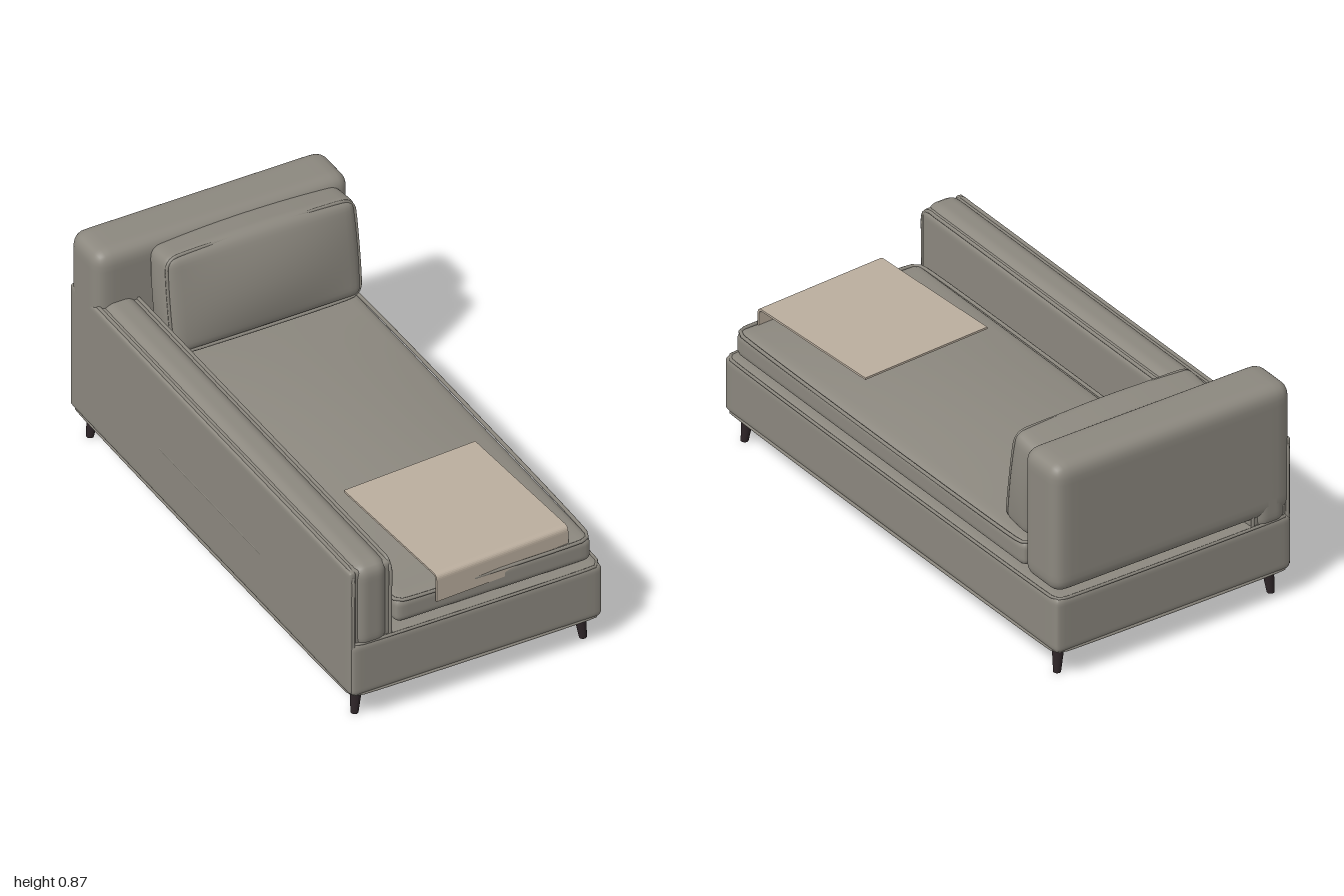
import * as THREE from 'three';
import { mergeVertices } from 'three/addons/utils/BufferGeometryUtils.js';

const fabric = new THREE.MeshStandardMaterial({ color: 0x8c887f });
fabric.name = 'grey fabric';
const throwCloth = new THREE.MeshStandardMaterial({ color: 0xbbae9e });
throwCloth.name = 'beige throw';
const darkWood = new THREE.MeshStandardMaterial({ color: 0x2e2528 });
darkWood.name = 'dark wood';

function mesh(name, geometry, material, parent) {
  const m = new THREE.Mesh(geometry, material);
  m.name = name;
  parent.add(m);
  return m;
}

// Rounded block whose faces bulge outwards by crown = {top, front, side}
function softBlock(w, h, d, r, crown = {}, n = 24) {
  const { top = 0, front = 0, side = 0 } = crown;
  const g = new THREE.BoxGeometry(2, 2, 2, n, n, n);
  g.deleteAttribute('uv');
  g.deleteAttribute('normal');
  const half = new THREE.Vector3(w / 2, h / 2, d / 2);
  const inner = half.clone().subScalar(r);
  const low = inner.clone().negate();
  const pos = g.attributes.position;
  const p = new THREE.Vector3();
  const c = new THREE.Vector3();
  const ease = (u) => Math.sin((u * Math.PI) / 2); // crowd the rows near the edges
  for (let i = 0; i < pos.count; i++) {
    p.fromBufferAttribute(pos, i);
    p.set(ease(p.x), ease(p.y), ease(p.z)).multiply(half);
    c.copy(p).clamp(low, inner);
    p.sub(c).setLength(r).add(c);
    const u = p.x / half.x, v = p.y / half.y, t = p.z / half.z;
    const fx = 1 - u * u, fy = 1 - v * v, fz = 1 - t * t;
    p.x += side * u * fy * fz;
    p.y += top * Math.max(v, 0) * fx * (front ? 1 : fz);
    p.z += front * Math.max(t, 0) * fx * fy;
    pos.setXYZ(i, p.x, p.y, p.z);
  }
  const merged = mergeVertices(g, 1e-5);
  merged.computeVertexNormals();
  return merged;
}

function block(name, x0, x1, y0, y1, z0, z1, r, parent, crown) {
  const m = mesh(name, softBlock(x1 - x0, y1 - y0, z1 - z0, r, crown), fabric, parent);
  m.position.set((x0 + x1) / 2, (y0 + y1) / 2, (z0 + z1) / 2);
  return m;
}

// Piping loop: a rounded rectangle in the ground plane
function pipingLoop(w, d, r, radius) {
  const pts = [];
  const corners = [[1, 1, 0], [-1, 1, 1], [-1, -1, 2], [1, -1, 3]];
  for (const [sx, sz, q] of corners) {
    for (let k = 0; k <= 4; k++) {
      const a = (q + k / 4) * Math.PI / 2;
      pts.push(new THREE.Vector3(
        sx * (w / 2 - r) + r * Math.cos(a), 0, sz * (d / 2 - r) + r * Math.sin(a)));
    }
  }
  const curve = new THREE.CatmullRomCurve3(pts, true, 'centripetal');
  return new THREE.TubeGeometry(curve, 160, radius, 6, true);
}

export function createModel() {
  const model = new THREE.Group();
  model.name = 'chaise';

  // Upholstered base with piped top and bottom edges
  block('base', -0.5, 0.5, 0.108, 0.334, -0.998, 0.998, 0.025, model);
  for (const [name, y] of [['baseTopPiping', 0.328], ['baseBottomPiping', 0.115]]) {
    mesh(name, pipingLoop(0.985, 1.98, 0.03, 0.006), fabric, model).position.y = y;
  }

  // Backrest across the full width
  block('backrest', -0.504, 0.504, 0.345, 0.865, -1, -0.79, 0.055, model);

  // Arm along the right side: domed core, body and a tall outer panel
  const arm = new THREE.Group();
  arm.name = 'arm';
  model.add(arm);
  block('armCore', -0.484, -0.346, 0.3, 0.654, -1, 1, 0.05, arm);
  block('armBody', -0.5, -0.33, 0.315, 0.638, -0.985, 0.985, 0.02, arm);
  block('armOuterPanel', -0.504, -0.475, 0.12, 0.638, -0.988, 0.988, 0.012, arm);

  // Piping running up each side of the arm front, along the top and down the back
  for (const x of [-0.488, -0.341]) {
    const path = new THREE.CatmullRomCurve3([
      [0.32, 0.985], [0.5, 0.987], [0.61, 0.985], [0.636, 0.96], [0.638, 0.9],
      [0.638, 0], [0.638, -0.9], [0.636, -0.96], [0.61, -0.985], [0.5, -0.987], [0.32, -0.985],
    ].map(([y, z]) => new THREE.Vector3(x, y, z)), false, 'centripetal');
    mesh('armPiping', new THREE.TubeGeometry(path, 120, 0.007, 6), fabric, arm);
  }

  // Seat cushion, softly crowned, with piping round the upper edge
  block('seatCushion', -0.308, 0.474, 0.337, 0.44, -0.765, 0.968, 0.03, model, { top: 0.034 });
  const seatPiping = mesh('seatPiping', pipingLoop(0.774, 1.726, 0.04, 0.007), fabric, model);
  seatPiping.position.set(0.083, 0.434, 0.1015);

  // Back cushion leaning on the backrest
  const back = new THREE.Group();
  back.name = 'backCushion';
  back.position.set(0.083, 0.652, -0.72);
  back.rotation.x = -0.14;
  model.add(back);
  mesh('backCushionBody',
    softBlock(0.75, 0.385, 0.145, 0.035, { top: 0.016, front: 0.04, side: 0.016 }), fabric, back);
  const backPiping = mesh('backCushionPiping', pipingLoop(0.745, 0.38, 0.045, 0.006), fabric, back);
  backPiping.rotation.x = Math.PI / 2;
  backPiping.position.z = 0.058;

  // Throw lying flat and folding down over the front
  const s = new THREE.Shape();
  s.moveTo(-0.298, 0.499);
  s.lineTo(0.275, 0.499);
  s.quadraticCurveTo(0.292, 0.499, 0.292, 0.482);
  s.lineTo(0.292, 0.395);
  s.lineTo(0.3, 0.395);
  s.lineTo(0.3, 0.485);
  s.quadraticCurveTo(0.3, 0.507, 0.278, 0.507);
  s.lineTo(-0.298, 0.507);
  const width = 0.54;
  const cloth = new THREE.ExtrudeGeometry(s, { depth: width, bevelEnabled: false, curveSegments: 6 });
  cloth.rotateY(-Math.PI / 2);
  cloth.translate(width / 2, 0, 0);
  const throwMesh = mesh('throw', cloth, throwCloth, model);
  throwMesh.position.set(0.098, 0, 0.669);
  throwMesh.rotation.y = 0.056;

  // Four tapered legs, splayed slightly outwards
  for (const sx of [-1, 1]) {
    for (const sz of [-1, 1]) {
      const g = new THREE.CylinderGeometry(0.024, 0.014, 0.115, 16);
      const pos = g.attributes.position;
      for (let i = 0; i < pos.count; i++) {
        const drop = 0.0575 - pos.getY(i);
        pos.setX(i, pos.getX(i) + sx * drop * 0.09);
        pos.setZ(i, pos.getZ(i) + sz * drop * 0.06);
      }
      g.computeVertexNormals();
      mesh('leg', g, darkWood, model).position.set(sx * 0.443, 0.0575, sz * 0.927);
    }
  }
  return model;
}
